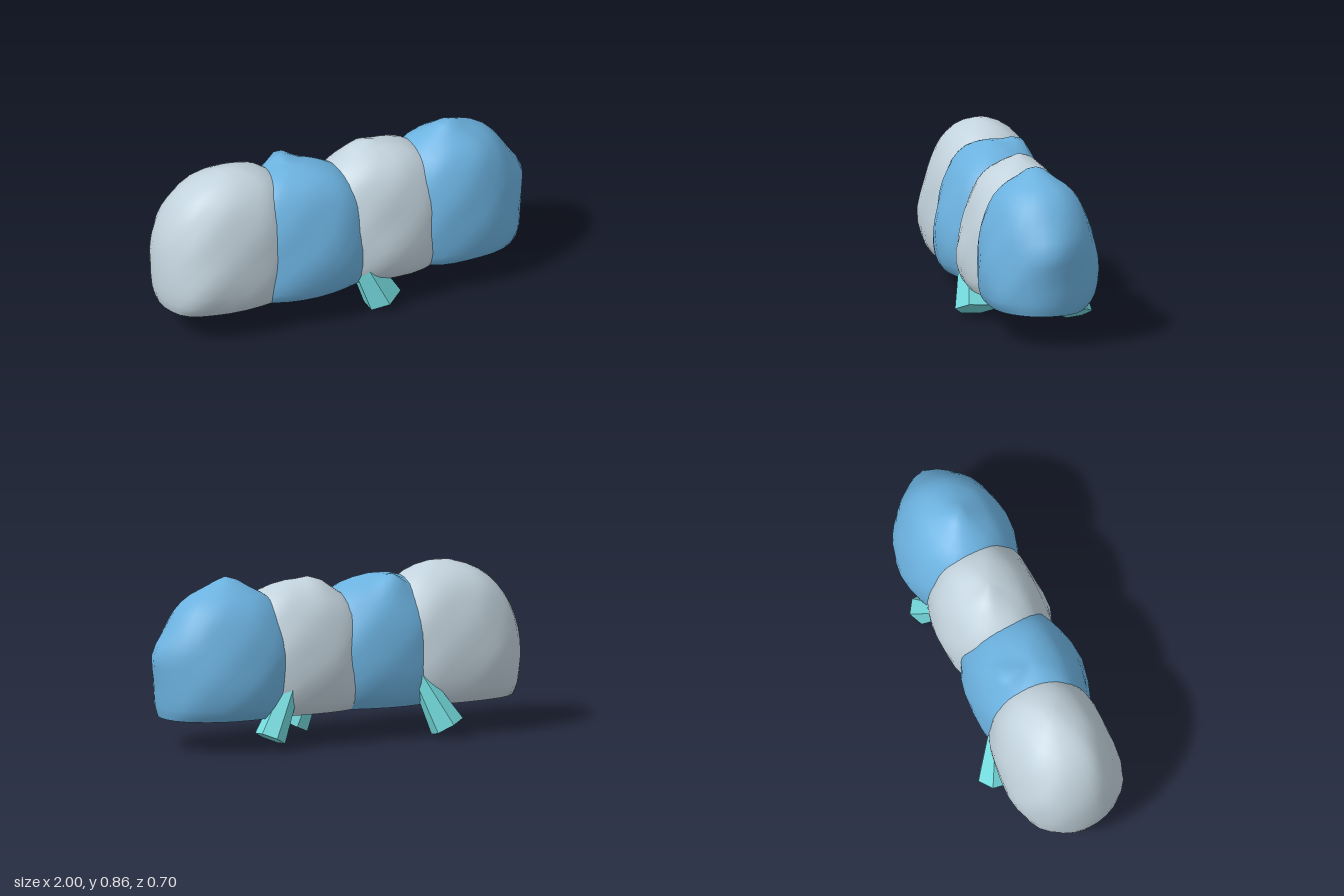
import * as THREE from 'three';

const FLOOR = 0.16;
const SEGMENTS = 32;
// [height fraction, x width fraction, z depth fraction] from flat base to crown
const PROFILE = [
  [0, 0.95, 0.83], [0.04, 0.97, 0.9], [0.09, 0.99, 0.95], [0.18, 1, 0.99], [0.29, 1, 1],
  [0.39, 0.99, 0.98], [0.48, 0.97, 0.95], [0.57, 0.93, 0.91], [0.66, 0.87, 0.85], [0.74, 0.8, 0.78],
  [0.81, 0.72, 0.7], [0.87, 0.62, 0.6], [0.92, 0.5, 0.48], [0.96, 0.35, 0.33], [0.99, 0.17, 0.16],
];

// Lumpy boulder body: superellipse rings, flat underside, a few local knobs
function lumpGeometry({ x, z, rx, rz, height, power, lean, knobs, phase }) {
  const pos = [], index = [];
  const push = (px, py, pz) => {
    const p = new THREE.Vector3(px, py, pz), out = p.clone();
    for (const [at, by, radius] of knobs) {
      const d = p.distanceToSquared(new THREE.Vector3(...at)) / (radius * radius);
      out.addScaledVector(new THREE.Vector3(...by), Math.exp(-d));
    }
    pos.push(out.x, out.y, out.z);
  };
  const square = (v) => Math.sign(v) * Math.abs(v) ** power;
  PROFILE.forEach(([t, fx, fz]) => {
    for (let j = 0; j < SEGMENTS; j++) {
      const a = (j / SEGMENTS) * Math.PI * 2;
      const c = Math.cos(a), s = Math.sin(a);
      const bump = 1 + (1 - c ** 8) * (0.012 * Math.sin(3 * a + phase + 5 * t)
        + 0.012 * Math.sin(5 * a - 9 * t + phase * 2) + 0.008 * Math.sin(8 * a + 14 * t + phase));
      const wave = 0.03 * t * (1 - t) * Math.sin(3 * a + phase * 3);
      push(
        x + rx * fx * square(c) * bump + lean[0] * t ** 4,
        FLOOR + height * t + wave,
        z + rz * fz * square(s) * bump + lean[1] * t ** 4 + 0.012 * (1 - t) ** 6,
      );
    }
  });
  const rings = PROFILE.length;
  for (let i = 0; i < rings - 1; i++) {
    for (let j = 0; j < SEGMENTS; j++) {
      const k = (j + 1) % SEGMENTS;
      const a = i * SEGMENTS + j, b = i * SEGMENTS + k;
      index.push(a, a + SEGMENTS, b, b, a + SEGMENTS, b + SEGMENTS);
    }
  }
  // Crown
  const top = pos.length / 3;
  push(x + lean[0], FLOOR + height, z + lean[1]);
  const last = (rings - 1) * SEGMENTS;
  for (let j = 0; j < SEGMENTS; j++) index.push(last + j, top, last + ((j + 1) % SEGMENTS));
  // Underside has its own rim, so the base edge stays sharp
  const rim = pos.length / 3;
  for (let j = 0; j < SEGMENTS * 3; j++) pos.push(pos[j]);
  const centre = pos.length / 3;
  pos.push(x, FLOOR - 0.003, z);
  for (let j = 0; j < SEGMENTS; j++) index.push(rim + j, rim + ((j + 1) % SEGMENTS), centre);

  const geometry = new THREE.BufferGeometry();
  geometry.setAttribute('position', new THREE.Float32BufferAttribute(pos, 3));
  geometry.setIndex(index);
  geometry.computeVertexNormals();
  return geometry;
}

// Faceted stub foot that flares from its hidden root to its sole
function legMesh(name, root, sole, rootRadius, soleRadius, material) {
  const a = new THREE.Vector3(...root), b = new THREE.Vector3(...sole);
  const axis = a.clone().sub(b);
  const geometry = new THREE.CylinderGeometry(rootRadius, soleRadius, axis.length(), 6).toNonIndexed();
  geometry.computeVertexNormals();
  const mesh = new THREE.Mesh(geometry, material);
  mesh.name = name;
  mesh.position.copy(a).add(b).multiplyScalar(0.5);
  mesh.quaternion.setFromUnitVectors(new THREE.Vector3(0, 1, 0), axis.normalize());
  return mesh;
}

export function createModel() {
  const material = (name, color) => {
    const m = new THREE.MeshStandardMaterial({ color });
    m.name = name;
    return m;
  };
  const grey = material('paleGrey', 0xc3d3dd);
  const blue = material('skyBlue', 0x6cb2e0);
  const teal = material('teal', 0x75dde0);

  const group = new THREE.Group();
  group.name = 'segmentedCrawler';

  // Four overlapping body segments in alternating colours; knobs are [position, push, radius]
  const segments = [
    {
      name: 'rightEndSegment', mat: grey, x: -0.61, z: 0.01, rx: 0.39, rz: 0.295, height: 0.69,
      power: 0.87, lean: [0.02, 0.01], phase: 0.6,
      knobs: [[[-0.87, 0.3, 0.24], [-0.01, 0, 0.025], 0.12]],
    },
    {
      name: 'rightMiddleSegment', mat: blue, x: -0.225, z: 0.035, rx: 0.395, rz: 0.298, height: 0.645,
      power: 0.9, lean: [-0.04, 0.01], phase: 2.1,
      knobs: [[[-0.28, 0.77, -0.1], [0, 0.055, -0.01], 0.07], [[-0.2, 0.35, 0.33], [0, 0, 0.012], 0.14]],
    },
    {
      name: 'leftMiddleSegment', mat: grey, x: 0.2, z: 0.025, rx: 0.385, rz: 0.285, height: 0.65,
      power: 0.9, lean: [0.01, 0], phase: 3.7,
      knobs: [[[0.12, 0.8, -0.02], [0, 0.03, 0], 0.07], [[0.12, 0.33, 0.31], [0, 0, 0.015], 0.12]],
    },
    {
      name: 'leftEndSegment', mat: blue, x: 0.595, z: 0.02, rx: 0.37, rz: 0.3, height: 0.66,
      power: 0.95, lean: [0, 0.01], phase: 5.2,
      knobs: [[[0.58, 0.82, 0.03], [0, 0.037, 0], 0.07], [[0.95, 0.48, 0.02], [0.042, 0, 0], 0.1]],
    },
  ];
  for (const s of segments) {
    const mesh = new THREE.Mesh(lumpGeometry(s), s.mat);
    mesh.name = s.name;
    group.add(mesh);
  }

  // Three splayed legs
  group.add(
    legMesh('frontLeg', [0.04, 0.26, 0.22], [0.145, 0.039, 0.233], 0.07, 0.103, teal),
    legMesh('backRightLeg', [-0.375, 0.31, -0.195], [-0.5, 0.053, -0.26], 0.045, 0.09, teal),
    legMesh('backLeftLeg', [0.345, 0.3, -0.185], [0.46, 0.06, -0.215], 0.055, 0.08, teal),
  );
  return group;
}
